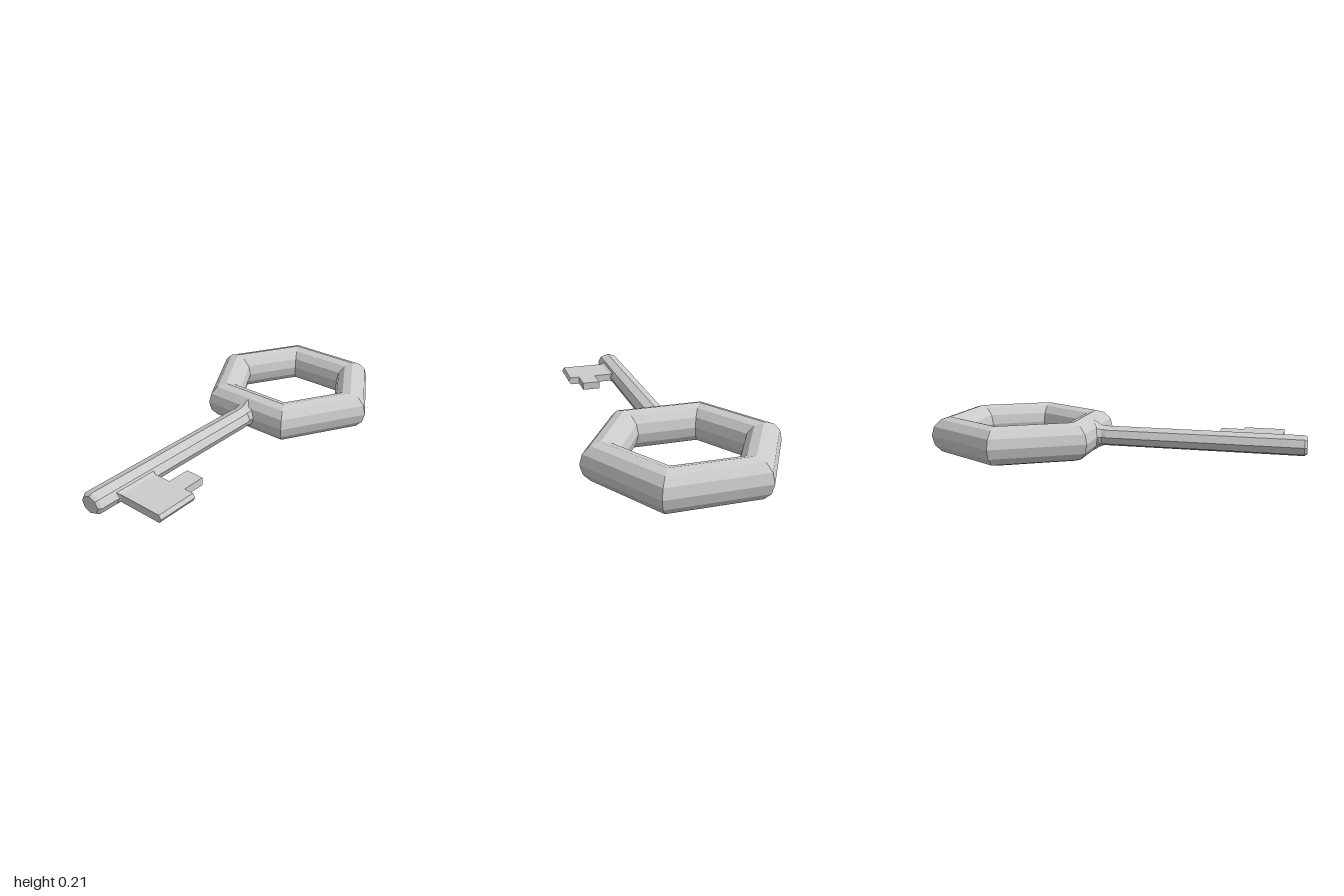
import * as THREE from 'three';

const AXIS_Y = 0.1035;

// Faceted loft along z from sections [z, rx, ry, diagonal scale], eight corners each
function loftZ(sections) {
  const sides = 8, pos = [], index = [];
  for (const [z, rx, ry, d] of sections) {
    for (let i = 0; i < sides; i++) {
      const a = (i / sides) * Math.PI * 2, k = i % 2 ? d : 1;
      pos.push(Math.cos(a) * rx * k, Math.sin(a) * ry * k, z);
    }
  }
  for (let s = 0; s < sections.length - 1; s++) {
    for (let i = 0; i < sides; i++) {
      const a = s * sides + i, b = s * sides + (i + 1) % sides;
      index.push(a, b, b + sides, a, b + sides, a + sides);
    }
  }
  // End caps
  const last = (sections.length - 1) * sides;
  for (let i = 1; i < sides - 1; i++) {
    index.push(0, i + 1, i, last, last + i, last + i + 1);
  }
  const g = new THREE.BufferGeometry();
  g.setAttribute('position', new THREE.Float32BufferAttribute(pos, 3));
  g.setIndex(index);
  const flat = g.toNonIndexed();
  flat.computeVertexNormals();
  return flat;
}

export function createModel() {
  const group = new THREE.Group();
  const material = new THREE.MeshStandardMaterial({ color: 0xcccccc, flatShading: true });
  const add = (name, geometry, x, z) => {
    const mesh = new THREE.Mesh(geometry, material);
    mesh.name = name;
    mesh.position.set(x, AXIS_Y, z);
    group.add(mesh);
  };

  // Hexagonal handle with a twelve-sided section
  const ring = new THREE.TorusGeometry(0.411, 0.1035, 12, 6);
  ring.rotateX(Math.PI / 2);
  add('handleRing', ring, 0, -0.5545);

  // Shaft flaring into the handle, with a chamfered tip
  add('shaft', loftZ([
    [-0.155, 0.085, 0.09, 0.78],
    [-0.112, 0.07, 0.065, 0.95],
    [-0.09, 0.058, 0.056, 1],
    [-0.06, 0.066, 0.055, 1],
    [0.985, 0.066, 0.055, 1],
    [1, 0.054, 0.045, 1],
  ]), 0, 0);

  // Bit plate with a pointed outer edge and a widened root
  const half = [[0.04, 0.032], [0.07, 0.021], [0.318, 0.021]];
  const profile = new THREE.Shape([
    ...half.map(([x, y]) => new THREE.Vector2(x, -y)),
    new THREE.Vector2(0.33, 0),
    ...half.slice().reverse().map(([x, y]) => new THREE.Vector2(x, y)),
  ]);
  const plate = new THREE.ExtrudeGeometry(profile, { depth: 0.222, bevelEnabled: false });
  plate.translate(0, 0, -0.111);
  const p = plate.attributes.position;
  for (let i = 0; i < p.count; i++) {
    if (p.getX(i) < 0.06) p.setZ(i, p.getZ(i) * 1.15);
  }
  plate.computeVertexNormals();
  add('bitPlate', plate, 0, 0.763);

  // Tooth pointing back toward the handle
  add('bitTooth', new THREE.BoxGeometry(0.1, 0.042, 0.14), 0.215, 0.598);

  return group;
}
